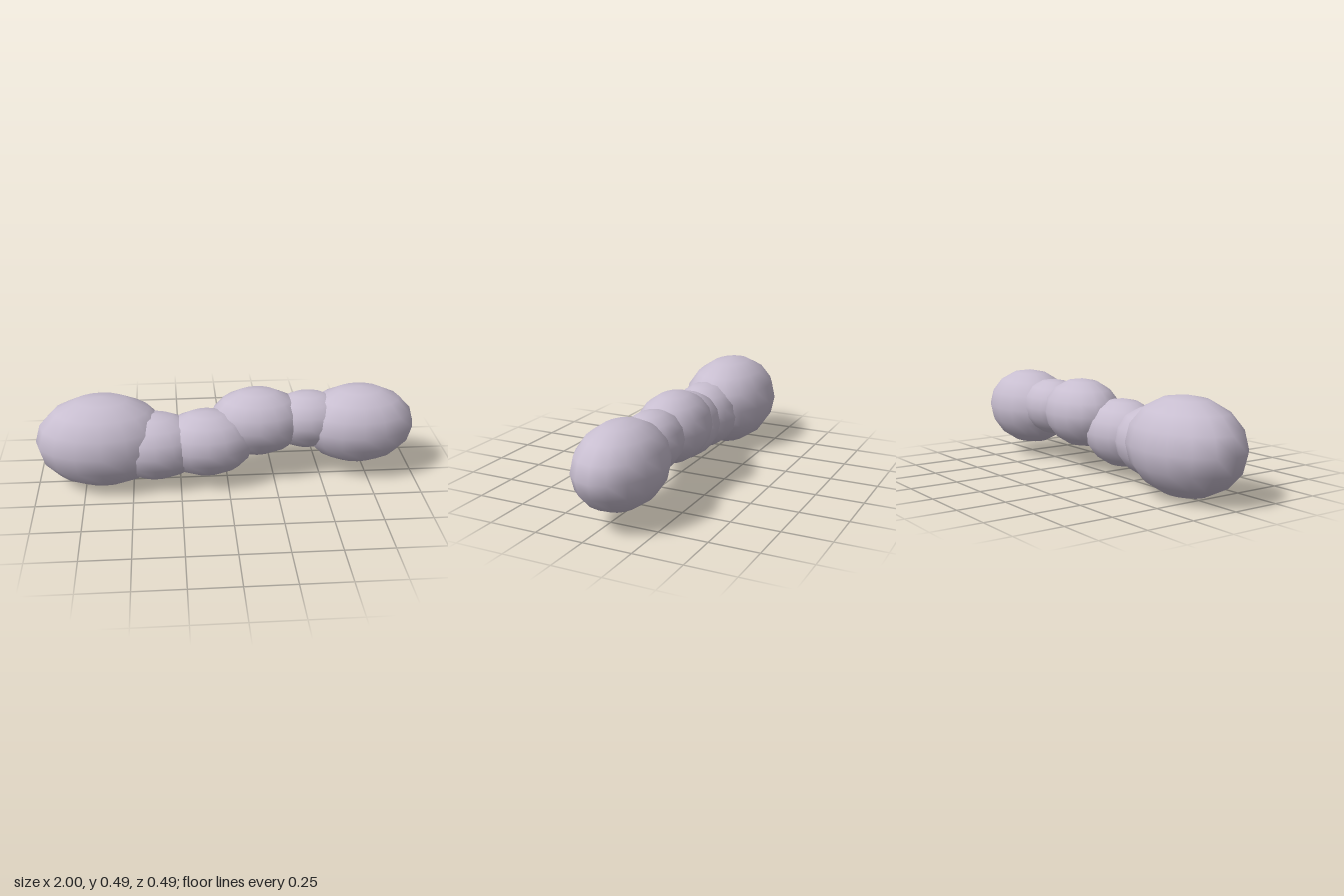
import * as THREE from 'three';

// A chain of overlapping stretched beads lying along x
export function createModel() {
  const model = new THREE.Group();
  model.name = 'beadChain';

  const paleMauve = new THREE.MeshStandardMaterial({ color: 0xc8bed0 });
  paleMauve.name = 'paleMauve';

  const sphere = new THREE.SphereGeometry(1, 16, 8);

  // name, centre, radii
  const beads = [
    ['rightEndLobe', [-0.65, 0.245, 0], [0.35, 0.245, 0.245]],
    ['rightInnerBead', [-0.38, 0.218, 0.035], [0.255, 0.181, 0.181]],
    ['rightMiddleBead', [-0.11, 0.228, 0.035], [0.25, 0.179, 0.179]],
    ['leftMiddleBead', [0.16, 0.307, -0.037], [0.255, 0.183, 0.183]],
    ['leftInnerBead', [0.43, 0.307, -0.045], [0.22, 0.154, 0.154]],
    ['leftEndLobe', [0.7, 0.278, -0.038], [0.3, 0.212, 0.211]],
  ];

  for (const [name, centre, radii] of beads) {
    const bead = new THREE.Mesh(sphere, paleMauve);
    bead.name = name;
    bead.position.set(...centre);
    bead.scale.set(...radii);
    model.add(bead);
  }
  return model;
}
